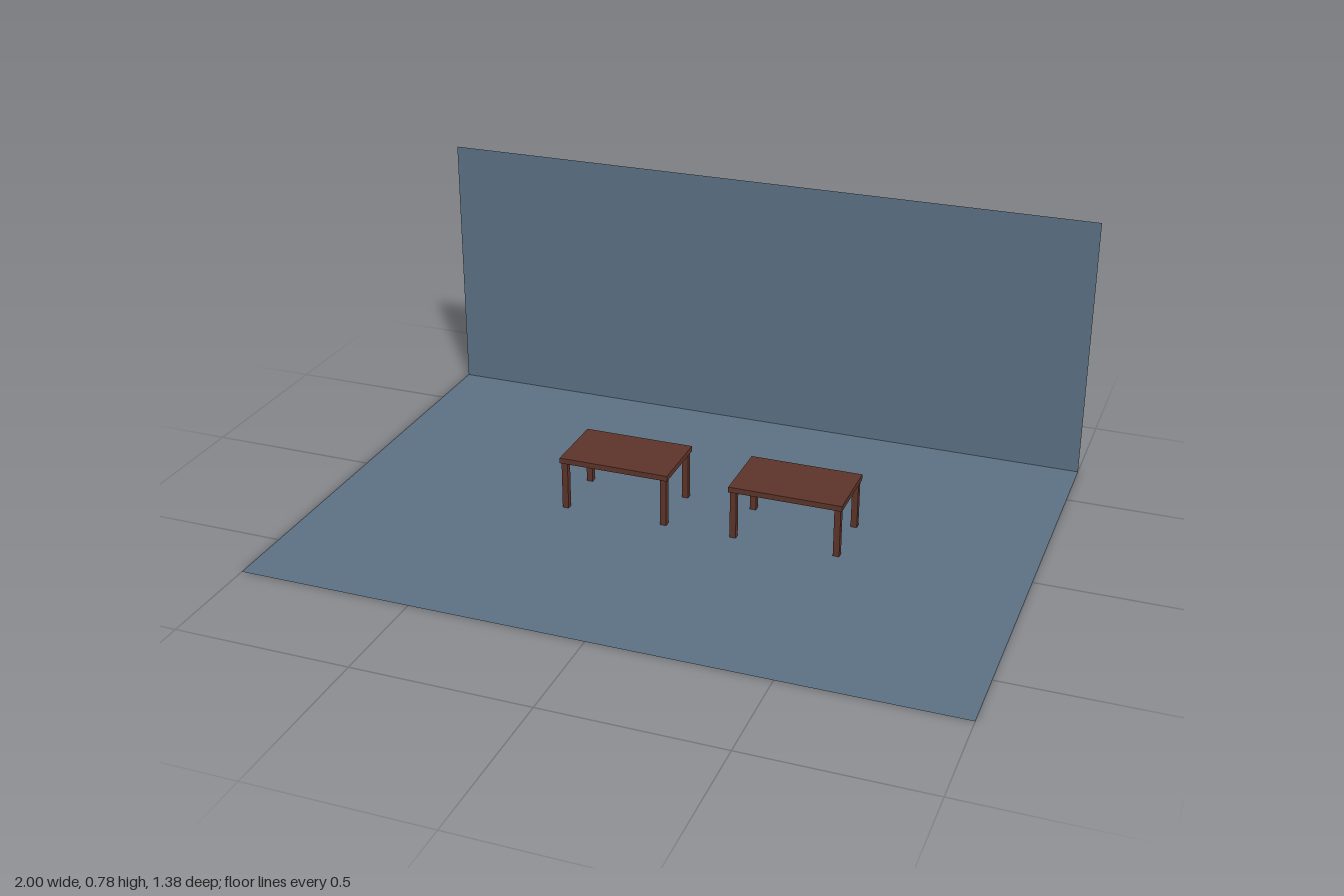
import * as THREE from 'three';

const slate = new THREE.MeshStandardMaterial({ color: 0x5b7083, side: THREE.DoubleSide });
const wood = new THREE.MeshStandardMaterial({ color: 0x5c3329 });

function addMesh(parent, name, geometry, material, x, y, z) {
  const mesh = new THREE.Mesh(geometry, material);
  mesh.name = name;
  mesh.position.set(x, y, z);
  parent.add(mesh);
  return mesh;
}

// Rectangular table: thin top on four square legs at its corners
function createTable() {
  const table = new THREE.Group();
  const width = 0.324, depth = 0.202, height = 0.158, thick = 0.016;
  const legSize = 0.018, inset = 0.004, legHeight = height - thick;
  addMesh(table, 'tableTop', new THREE.BoxGeometry(width, thick, depth), wood, 0, height - thick / 2, 0);
  const legGeometry = new THREE.BoxGeometry(legSize, legHeight, legSize);
  const legX = width / 2 - inset - legSize / 2;
  const legZ = depth / 2 - inset - legSize / 2;
  for (const sx of [-1, 1]) {
    for (const sz of [-1, 1]) {
      addMesh(table, 'tableLeg', legGeometry, wood, sx * legX, legHeight / 2, sz * legZ);
    }
  }
  return table;
}

export function createModel() {
  const room = new THREE.Group();
  room.name = 'room';
  const width = 2, depth = 1.375, wallHeight = 0.78;

  // Thin floor and back wall
  const floor = addMesh(room, 'floor', new THREE.PlaneGeometry(width, depth), slate, 0, 0, 0);
  floor.rotation.x = -Math.PI / 2;
  addMesh(room, 'backWall', new THREE.PlaneGeometry(width, wallHeight), slate, 0, wallHeight / 2, -depth / 2);

  // Two matching tables side by side
  for (const [name, x] of [['rightTable', -0.182], ['leftTable', 0.322]]) {
    const table = createTable();
    table.name = name;
    table.position.set(x, 0, -0.048);
    room.add(table);
  }
  return room;
}
